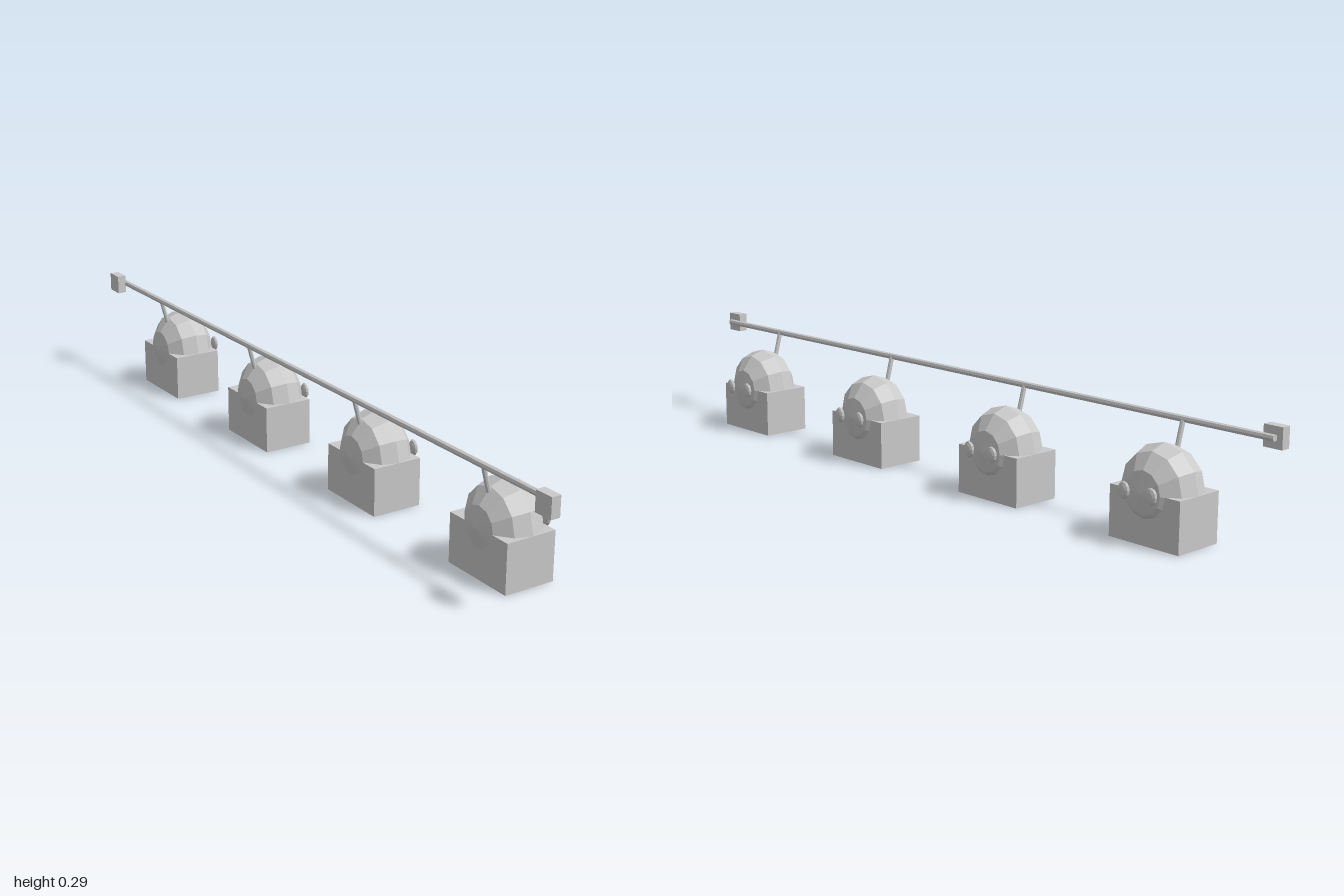
import * as THREE from 'three';

const grey = new THREE.MeshStandardMaterial({ color: 0xcacaca, flatShading: true });
grey.name = 'light grey';

function add(parent, name, geometry, x, y, z) {
  const mesh = new THREE.Mesh(geometry, grey);
  mesh.name = name;
  mesh.position.set(x, y, z);
  parent.add(mesh);
  return mesh;
}

// Faceted ellipsoid with its poles along x
function ellipsoid(rx, ry, rz) {
  return new THREE.SphereGeometry(1, 12, 6).rotateZ(-Math.PI / 2).scale(rx, ry, rz);
}

// Straight bar between two points
function bar(parent, name, a, b, radius, sides) {
  const dir = b.clone().sub(a);
  const mid = a.clone().add(b).multiplyScalar(0.5);
  const mesh = add(parent, name, new THREE.CylinderGeometry(radius, radius, dir.length(), sides), mid.x, mid.y, mid.z);
  mesh.quaternion.setFromUnitVectors(new THREE.Vector3(0, 1, 0), dir.normalize());
}

export function createModel() {
  const model = new THREE.Group();
  model.name = 'hangingRow';

  // Long rail and its wall brackets
  bar(model, 'rail', new THREE.Vector3(-0.065, 0.267, -0.985), new THREE.Vector3(-0.065, 0.267, 0.985), 0.008, 8);
  for (const side of [-1, 1]) {
    add(model, 'endBracket', new THREE.BoxGeometry(0.024, 0.05, 0.05), -0.083, 0.267, side * 0.975);
  }

  // Four units hanging from the rail
  for (const z of [-0.74, -0.247, 0.247, 0.74]) {
    const unit = new THREE.Group();
    unit.name = 'unit';
    unit.position.z = z;
    model.add(unit);

    add(unit, 'body', new THREE.BoxGeometry(0.132, 0.122, 0.2), -0.004, 0.061, 0);
    add(unit, 'head', ellipsoid(0.08, 0.103, 0.1), 0, 0.122, 0);
    for (const side of [-1, 1]) {
      add(unit, 'eye', ellipsoid(0.0075, 0.021, 0.016), 0.0855, 0.124, side * 0.039);
    }
    bar(unit, 'hanger', new THREE.Vector3(-0.0625, 0.267, 0), new THREE.Vector3(-0.0385, 0.178, 0), 0.006, 8);
  }
  return model;
}
